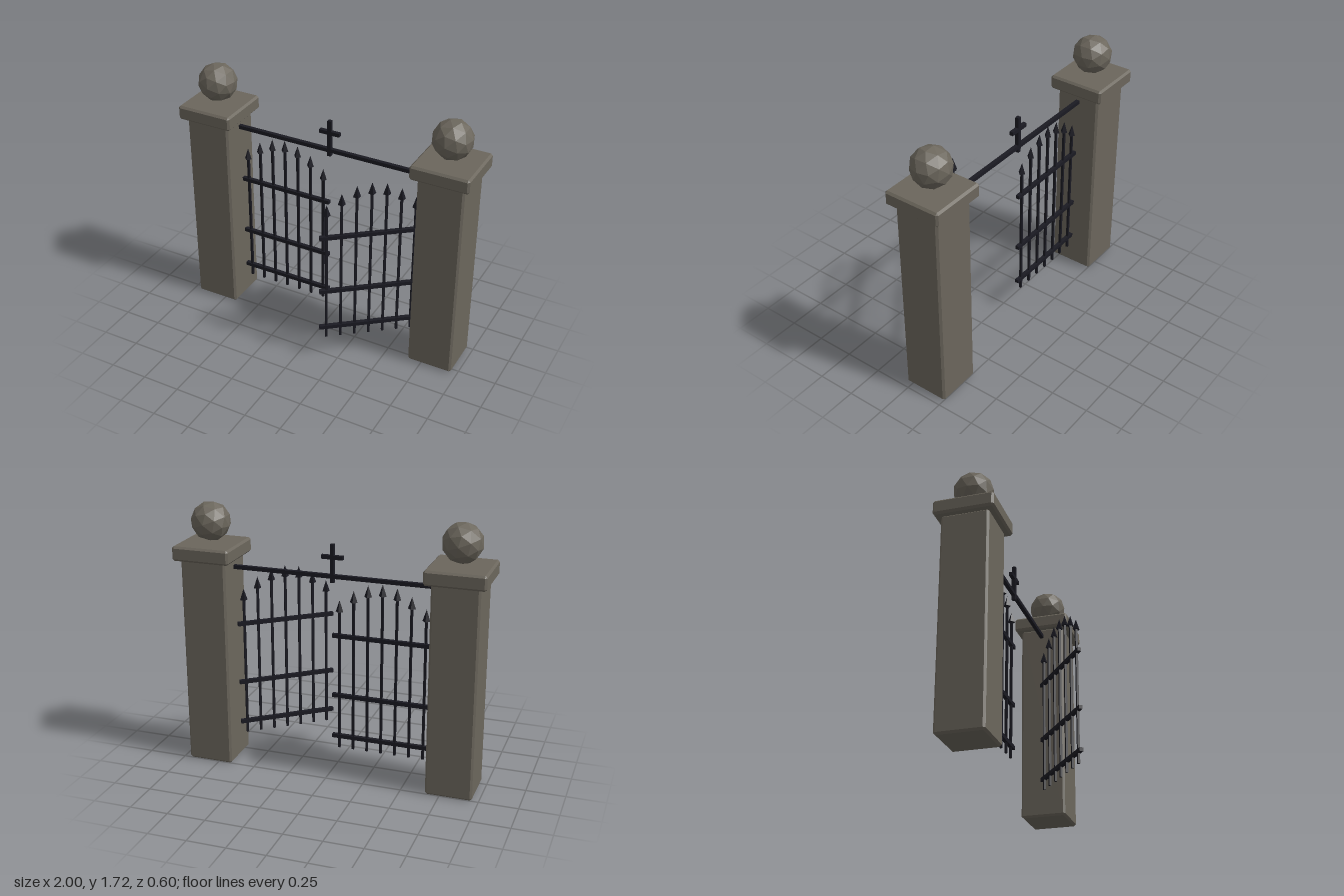
import * as THREE from 'three';
import { ConvexGeometry } from 'three/addons/geometries/ConvexGeometry.js';

const Z = -0.107; // line of the wall

export function createModel() {
  const stone = new THREE.MeshStandardMaterial({ color: 0x6b665c, flatShading: true });
  stone.name = 'stone';
  const iron = new THREE.MeshStandardMaterial({ color: 0x1a1a22, flatShading: true });
  iron.name = 'iron';

  const root = new THREE.Group();
  root.name = 'gateway';

  function add(parent, name, geometry, material, x, y, z) {
    const mesh = new THREE.Mesh(geometry, material);
    mesh.name = name;
    mesh.position.set(x, y, z);
    parent.add(mesh);
    return mesh;
  }

  // Box with every edge cut at 45 degrees
  function chamferBox(w, h, d, c) {
    const points = [];
    for (const sx of [-1, 1]) for (const sy of [-1, 1]) for (const sz of [-1, 1]) {
      const x = w / 2, y = h / 2, z = d / 2;
      points.push(
        new THREE.Vector3(sx * x, sy * (y - c), sz * (z - c)),
        new THREE.Vector3(sx * (x - c), sy * y, sz * (z - c)),
        new THREE.Vector3(sx * (x - c), sy * (y - c), sz * z));
    }
    return new ConvexGeometry(points);
  }

  // Stone pillars with caps and faceted balls
  for (const side of [-1, 1]) {
    const pillar = new THREE.Group();
    pillar.name = side > 0 ? 'leftPillar' : 'rightPillar';
    pillar.position.set(side * 0.808, 0, Z);
    add(pillar, 'shaft', chamferBox(0.3, 1.375, 0.3, 0.013), stone, 0, 0.6875, 0);
    add(pillar, 'cap', chamferBox(0.38, 0.095, 0.38, 0.013), stone, 0, 1.4175, 0);
    const ball = add(pillar, 'ball', new THREE.IcosahedronGeometry(0.127, 1), stone, 0, 1.599, 0);
    ball.rotation.z = 0.2;
    root.add(pillar);
  }

  // Overhead bar with its cross
  add(root, 'topBar', new THREE.BoxGeometry(1.34, 0.025, 0.025), iron, 0, 1.315, Z);
  add(root, 'crossUpright', new THREE.BoxGeometry(0.025, 0.245, 0.025), iron, 0, 1.398, Z);
  add(root, 'crossArm', new THREE.BoxGeometry(0.14, 0.025, 0.025), iron, 0, 1.437, Z);

  // Gate leaf: hinged at its origin and running along dir * x
  const tips = [1.165, 1.235, 1.28, 1.295, 1.28, 1.235, 1.165];
  function gateLeaf(name, dir) {
    const leaf = new THREE.Group();
    leaf.name = name;
    for (const y of [0.245, 0.527, 0.93]) {
      add(leaf, 'rail', new THREE.BoxGeometry(0.645, 0.025, 0.025), iron, dir * 0.3225, y, 0);
    }
    tips.forEach((tip, i) => {
      const x = dir * (0.043 + i * 0.0927);
      const top = tip - 0.07, bottom = 0.165;
      add(leaf, 'picket', new THREE.BoxGeometry(0.015, top - bottom, 0.015), iron, x, (top + bottom) / 2, 0);
      add(leaf, 'spearhead', new THREE.ConeGeometry(0.025, 0.075, 4), iron, x, tip - 0.0375, 0);
    });
    root.add(leaf);
    return leaf;
  }

  gateLeaf('rightGate', 1).position.set(-0.645, 0, Z);
  const openLeaf = gateLeaf('leftGate', -1);
  openLeaf.position.set(0.645, 0, Z);
  openLeaf.rotation.y = 0.67;

  return root;
}
